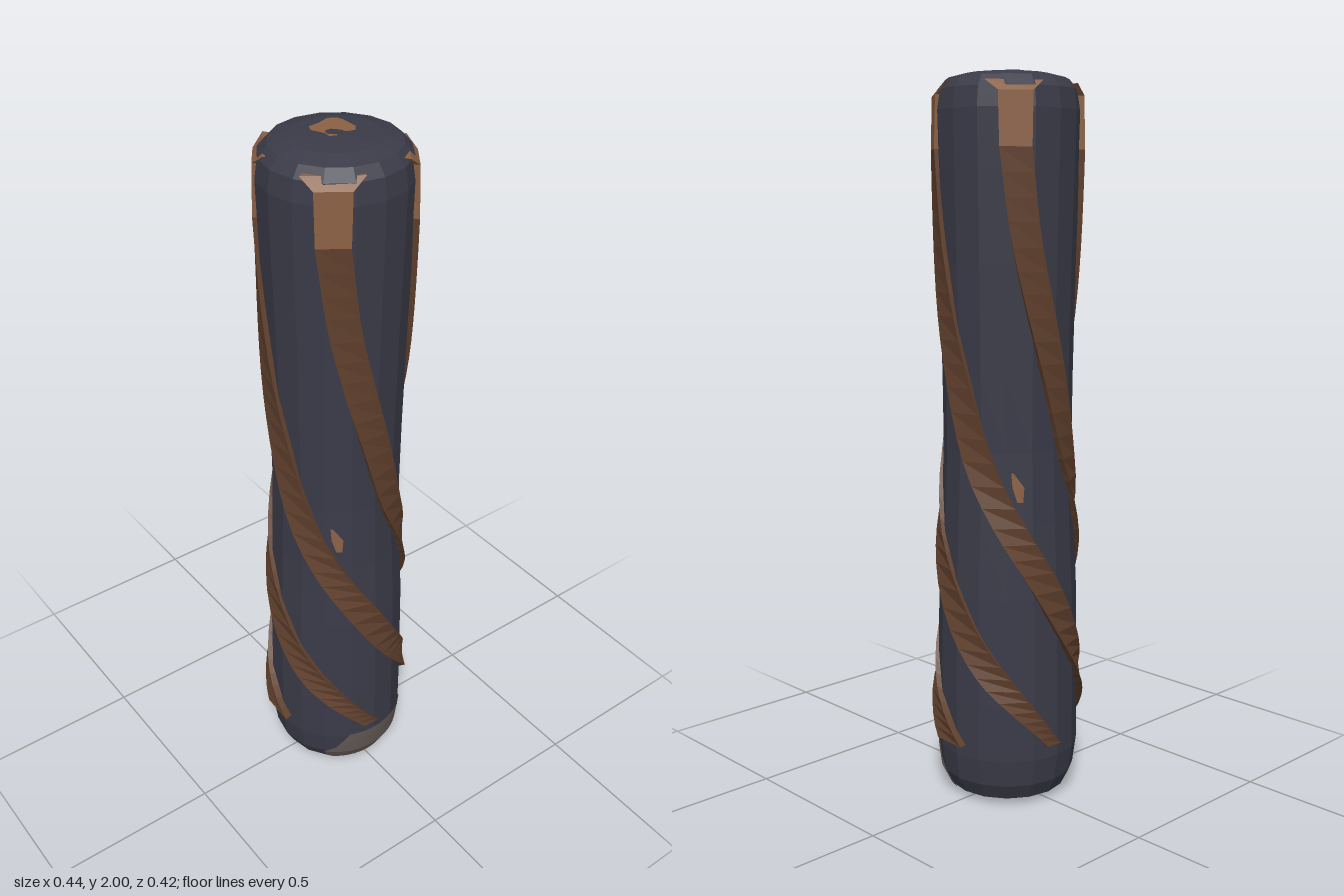
import * as THREE from 'three';

const RAD = Math.PI / 180;
const paint = (name, color, side = THREE.FrontSide) =>
  Object.assign(new THREE.MeshStandardMaterial({ color, flatShading: true, side }), { name });

// Handle profile as [radius, height], bottom to top
const PROFILE = [
  [0, 0.005], [0.12, 0], [0.165, 0.02], [0.188, 0.065], [0.198, 0.14], [0.198, 0.3], [0.194, 0.6],
  [0.185, 0.8], [0.178, 1.0], [0.18, 1.2], [0.186, 1.5], [0.193, 1.75], [0.197, 1.9],
  [0.189, 1.955], [0.165, 1.983], [0.115, 1.996], [0, 1.998],
];

function radiusAt(y) {
  for (let i = 2; i < PROFILE.length; i++) {
    const [r0, y0] = PROFILE[i - 1], [r1, y1] = PROFILE[i];
    if (y <= y1) return r0 + (r1 - r0) * Math.max(0, (y - y0) / (y1 - y0));
  }
  return 0;
}

// Angle 0 is the front, growing towards +x
const polar = (deg, r, y) => [Math.sin(deg * RAD) * r, y, Math.cos(deg * RAD) * r];

// Skin rows of points (top to bottom); closed rows also get end caps
function skin(rows, closed) {
  const n = rows[0].length, index = [];
  for (let i = 0; i < rows.length - 1; i++) {
    for (let j = 0; j < (closed ? n : n - 1); j++) {
      const a = i * n + j, b = i * n + (j + 1) % n;
      index.push(a, a + n, b + n, a, b + n, b);
    }
  }
  if (closed) {
    const e = (rows.length - 1) * n;
    index.push(0, 1, 2, 0, 2, 3, e, e + 3, e + 2, e, e + 2, e + 1);
  }
  const g = new THREE.BufferGeometry();
  g.setAttribute('position', new THREE.Float32BufferAttribute(rows.flat(2), 3));
  g.setIndex(index);
  g.computeVertexNormals();
  return g;
}

// Four-cornered strap section lying on the handle
function section(y, deg, half, liftLeft, liftRight) {
  const r = radiusAt(y);
  return [
    polar(deg - half, r + liftLeft, y), polar(deg + half, r + liftRight, y),
    polar(deg + half, r - 0.025, y), polar(deg - half, r - 0.025, y),
  ];
}

// Thin worn patch hugging the handle; rows are [height, from angle, to angle]
function patch(rows, steps = 10) {
  return skin(rows.map(([y, from, to]) => Array.from({ length: steps + 1 }, (_, i) =>
    polar(from + (to - from) * i / steps, radiusAt(y) + 0.003, y))), false);
}

export function createModel() {
  const group = new THREE.Group();
  const wrap = paint('dark wrap', 0x3b3b49);
  const leather = paint('brown leather', 0x60402d);
  const tan = paint('tan leather', 0x8a6044, THREE.DoubleSide);
  const worn = paint('worn grey', 0x635954, THREE.DoubleSide);
  const add = (name, geometry, material) => {
    const mesh = new THREE.Mesh(geometry, material);
    mesh.name = name;
    group.add(mesh);
    return mesh;
  };

  // Faceted handle with a slight waist
  add('handle', new THREE.LatheGeometry(PROFILE.map(([r, y]) => new THREE.Vector2(r, y)), 16), wrap);

  // Path shared by the straps: angle, height, half width in degrees
  const path = new THREE.CatmullRomCurve3([
    [-38, 1.8, 12], [-31, 1.6, 12], [-18, 1.4, 12.5], [-1, 1.2, 13], [19, 0.99, 13.5],
    [48, 0.8, 13.5], [73, 0.66, 13.5], [104, 0.48, 13.5], [130, 0.36, 13.5], [155, 0.26, 13], [176, 0.175, 13],
  ].map((p) => new THREE.Vector3(...p)));

  for (let k = 0; k < 4; k++) {
    const turn = k * 90;
    const frayed = k % 2 === 0; // these two straps end front and back

    // Spiral strap, thinning out or standing proud at its lower end
    const rows = [];
    for (let i = 0; i <= 32; i++) {
      const p = path.getPoint(i / 32);
      const end = THREE.MathUtils.clamp((0.36 - p.y) / 0.16, 0, 1);
      const half = frayed ? p.z * (1 - 0.45 * end) : p.z;
      const left = 0.014 + end * (frayed ? -0.007 : 0.008);
      const right = 0.01 + end * (frayed ? -0.005 : 0.01);
      rows.push(section(p.y, p.x + turn, half, left, right));
    }
    add('strap', skin(rows, true), leather);

    // Pale upper end, flaring over the rim
    add('strapEnd', skin([
      section(1.968, -38 + turn, 24, 0.016, 0.006),
      section(1.94, -38 + turn, 13, 0.014, 0.01),
      section(1.8, -38 + turn, 12, 0.014, 0.01),
    ], true), tan);

    // Small scuff beside the strap
    add('scuff', patch(frayed
      ? [[1.04, 94 + turn, 96 + turn], [1.0, 95 + turn, 104 + turn], [0.96, 101 + turn, 107 + turn]]
      : [[0.95, -131 + turn, -129 + turn], [0.91, -130 + turn, -120 + turn], [0.87, -126 + turn, -121 + turn]], 3), tan);
  }

  // Worn area low on the front
  add('wornBase', patch([
    [0.15, -24, 45], [0.12, -30, 54], [0.09, -36, 60], [0.065, -47, 64], [0.04, -46, 74], [0.022, -42, 80],
  ], 14), worn);

  // Worn spot on the top
  const spot = new THREE.Shape([
    [-0.04, -0.045], [-0.03, -0.065], [0, -0.068], [0.035, -0.08], [0.055, -0.068], [0.06, -0.05], [0.06, 0],
    [0.045, 0.018], [0.022, 0.012], [0.018, -0.004], [0.003, -0.022], [-0.015, -0.022], [-0.022, -0.008],
    [-0.018, 0.004], [-0.005, 0.012], [-0.01, 0.02], [-0.026, 0.01], [-0.024, -0.008],
  ].map(([x, z]) => new THREE.Vector2(x, -z)));
  const top = add('topSpot', new THREE.ShapeGeometry(spot), tan);
  top.rotation.x = -Math.PI / 2;
  top.position.y = 2;

  return group;
}
